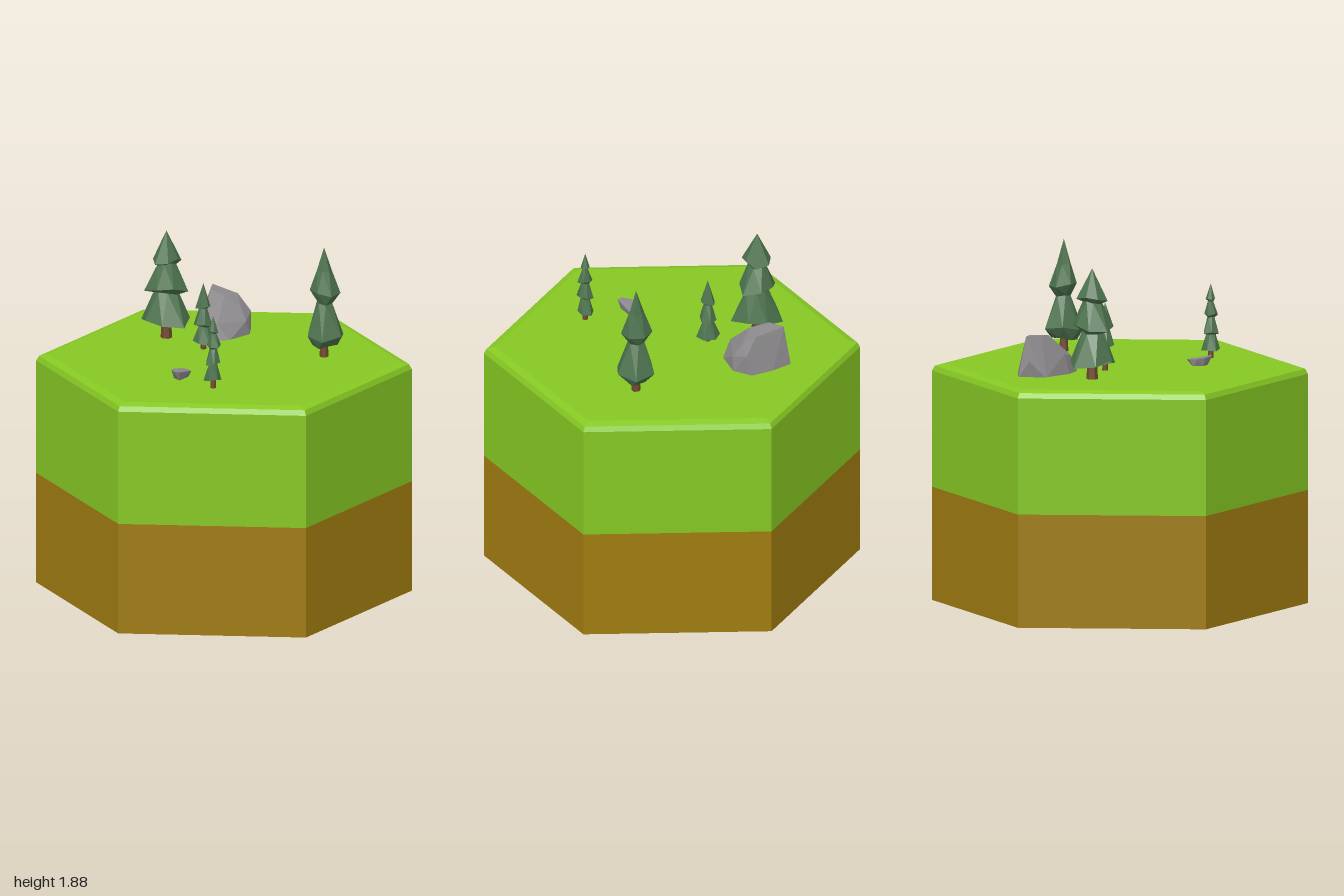
import * as THREE from 'three';
import { ConvexGeometry } from 'three/addons/geometries/ConvexGeometry.js';

const mat = (name, color) => Object.assign(new THREE.MeshStandardMaterial({ color }), { name });
const GROUND = 1.275;

// Faceted copy with one normal per face
function facet(geometry) {
  const g = geometry.index ? geometry.toNonIndexed() : geometry;
  g.computeVertexNormals();
  return g;
}

// Lathe from [radius, height] pairs, bottom to top
function lathe(profile, sides) {
  return new THREE.LatheGeometry(profile.map(([r, y]) => new THREE.Vector2(r, y)), sides);
}

// Give each ring of a lathe an uneven, slightly twisted outline
function roughen(g, rows, sides, seed, amount) {
  const p = g.attributes.position;
  const wave = (i, j, k) => Math.sin(seed * 7.1 + i * 12.9 + j * 4.7 + k * 2.3);
  for (let n = 0; n < p.count; n++) {
    const i = n % rows, j = Math.floor(n / rows) % sides;
    const x = p.getX(n), z = p.getZ(n), r = Math.hypot(x, z);
    if (r < 1e-5) continue;
    const a = Math.atan2(x, z) + seed + i * 0.3;
    const s = r * (1 + amount * wave(i, j, 0));
    p.setXYZ(n, s * Math.sin(a), p.getY(n) + r * amount * 1.3 * wave(i, j, 1), s * Math.cos(a));
  }
  return g;
}

export function createModel() {
  const model = new THREE.Group();
  const grass = mat('grass', 0x86c823);
  const dirt = mat('dirt', 0xa07c10);
  const needles = mat('needles', 0x4d734e);
  const bark = mat('bark', 0x714a2e);
  const stone = mat('stone', 0x8b898b);

  const add = (name, geometry, material, parent = model) => {
    const mesh = new THREE.Mesh(facet(geometry), material);
    mesh.name = name;
    parent.add(mesh);
    return mesh;
  };

  // Hexagonal block of soil with a bevelled grass top
  add('soil', lathe([[0, 0], [1, 0], [1, 0.61]], 6), dirt);
  add('grassBlock', lathe([[1, 0.61], [1, 1.235], [0.985, 1.262], [0.94, GROUND], [0, GROUND]], 6), grass);

  // Fir trees: position, trunk radius, then foliage profile
  const trees = [
    { name: 'largeFir', x: -0.455, z: -0.125, trunk: 0.032, sides: 7, seed: 1, foliage: [
      [0, 1.375], [0.132, 1.365], [0.062, 1.53], [0.108, 1.555], [0.048, 1.69], [0.079, 1.71], [0, 1.87]] },
    { name: 'roundFir', x: 0.425, z: -0.32, trunk: 0.025, sides: 6, seed: 2, foliage: [
      [0, 1.36], [0.065, 1.345], [0.104, 1.40], [0.042, 1.575], [0.078, 1.635], [0.04, 1.75], [0, 1.88]] },
    { name: 'smallFir', x: -0.18, z: -0.07, trunk: 0.016, sides: 6, seed: 3, foliage: [
      [0, 1.32], [0.06, 1.312], [0.027, 1.40], [0.05, 1.41], [0.022, 1.50], [0.042, 1.51], [0, 1.64]] },
    { name: 'slimFir', x: 0.25, z: 0.47, trunk: 0.016, sides: 6, seed: 4, foliage: [
      [0, 1.33], [0.047, 1.322], [0.024, 1.405], [0.044, 1.415], [0.02, 1.495],
      [0.04, 1.51], [0.016, 1.58], [0.026, 1.59], [0, 1.675]] },
  ];
  for (const t of trees) {
    const tree = new THREE.Group();
    tree.name = t.name;
    tree.position.set(t.x, 0, t.z);
    const leaves = roughen(lathe(t.foliage, t.sides), t.foliage.length, t.sides, t.seed, 0.12);
    add('foliage', leaves, needles, tree);
    const trunk = new THREE.CylinderGeometry(t.trunk * 0.65, t.trunk, 0.16, 6);
    add('trunk', trunk, bark, tree).position.y = GROUND + 0.07;
    model.add(tree);
  }

  // Rocks as hulls of a few corner points
  const rock = (name, corners) =>
    add(name, new ConvexGeometry(corners.map((c) => new THREE.Vector3(...c))), stone);
  rock('boulder', [
    [-0.42, 1.27, -0.52], [-0.30, 1.27, -0.53], [-0.18, 1.27, -0.52], [-0.12, 1.27, -0.42],
    [-0.15, 1.27, -0.27], [-0.20, 1.27, -0.215], [-0.30, 1.27, -0.25], [-0.42, 1.27, -0.37],
    [-0.43, 1.36, -0.46], [-0.13, 1.35, -0.40], [-0.16, 1.38, -0.49], [-0.21, 1.36, -0.25],
    [-0.31, 1.38, -0.28], [-0.40, 1.49, -0.48], [-0.36, 1.49, -0.40], [-0.25, 1.475, -0.37],
    [-0.23, 1.47, -0.47], [-0.18, 1.42, -0.42],
  ]);
  rock('pebble', [
    [0.04, 1.325, 0.36], [0.01, 1.325, 0.355], [-0.03, 1.32, 0.39], [-0.04, 1.315, 0.43],
    [-0.02, 1.31, 0.475], [0.01, 1.305, 0.488], [0.04, 1.305, 0.475],
    [0.03, 1.27, 0.38], [-0.02, 1.27, 0.40], [-0.025, 1.27, 0.45], [0.03, 1.27, 0.46],
  ].map(([x, y, z]) => [x, y, 0.843 - z]));

  return model;
}
